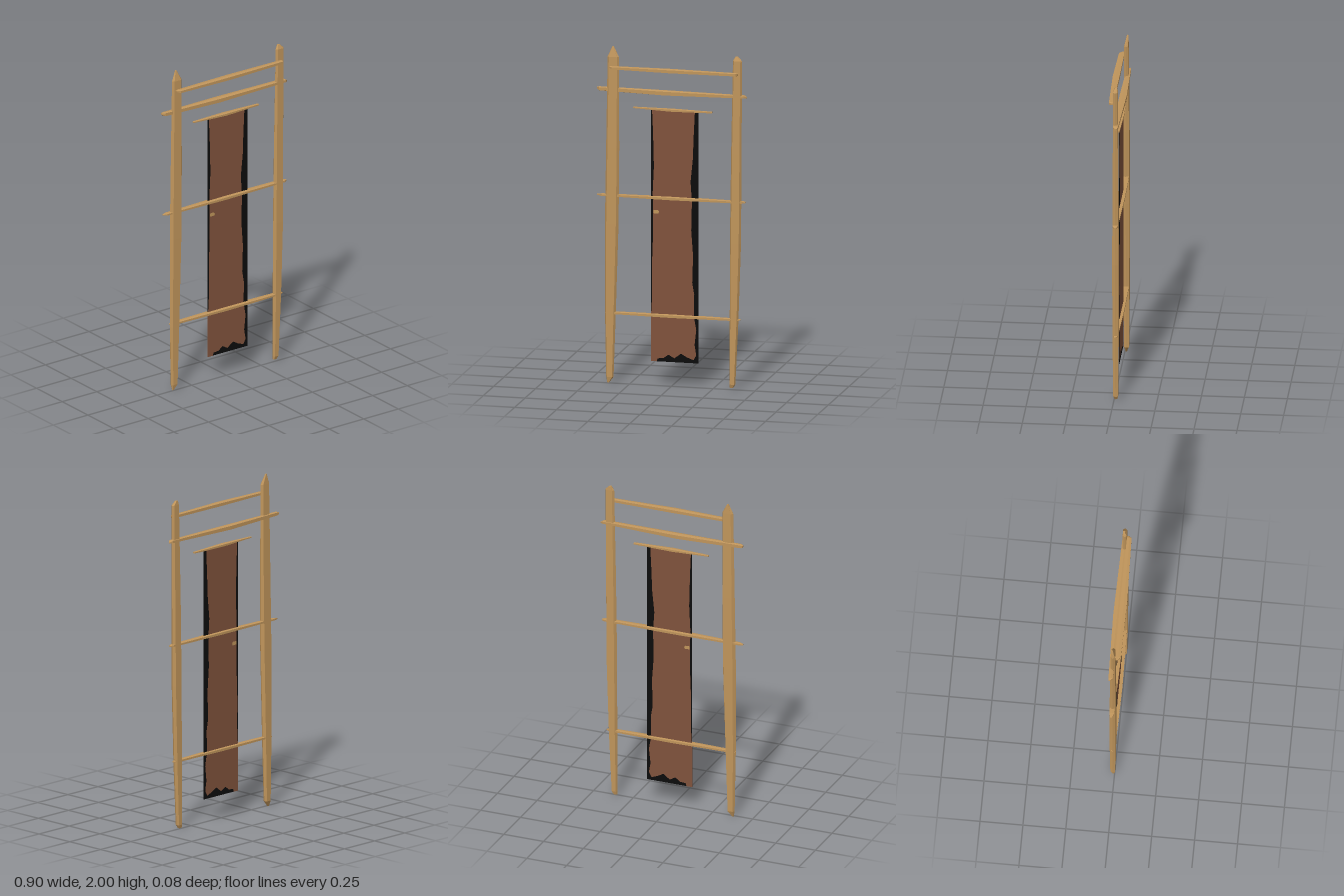
import * as THREE from 'three';

const wood = new THREE.MeshStandardMaterial({ color: 0xc0955b });
wood.name = 'wood';
const cloth = new THREE.MeshStandardMaterial({ color: 0x80533c });
cloth.name = 'brownCloth';
const black = new THREE.MeshStandardMaterial({ color: 0x0c0c0c });
black.name = 'blackEdge';

// Six-sided outline of a hewn pole, in -1..1
const RING = [[-1, 0], [-0.7, 1], [0.7, 1], [1, 0.1], [0.75, -1], [-0.65, -1]];

// Tapered pole from sections [along, low, high, zBack, zFront]; vertical posts run along y, rails along x
function pole(name, sections, vertical) {
  const rings = sections.map(([t, u0, u1, z0, z1]) => RING.map(([a, b]) => {
    const u = (u0 + u1) / 2 + a * (u1 - u0) / 2;
    const z = (z0 + z1) / 2 + b * (z1 - z0) / 2;
    return vertical ? [u, t, z] : [t, u, z];
  }));
  const pos = [];
  const tri = (a, b, c) => pos.push(...(vertical ? [a, b, c] : [a, c, b]).flat());
  const n = RING.length;
  for (let s = 0; s < rings.length - 1; s++) {
    for (let i = 0; i < n; i++) {
      const j = (i + 1) % n;
      const [a, b, c, d] = [rings[s][i], rings[s][j], rings[s + 1][j], rings[s + 1][i]];
      tri(a, b, c);
      tri(a, c, d);
    }
  }
  // End caps
  const first = rings[0], last = rings[rings.length - 1];
  for (let i = 1; i < n - 1; i++) {
    tri(first[0], first[i + 1], first[i]);
    tri(last[0], last[i], last[i + 1]);
  }
  const geo = new THREE.BufferGeometry();
  geo.setAttribute('position', new THREE.Float32BufferAttribute(pos, 3));
  geo.computeVertexNormals();
  const mesh = new THREE.Mesh(geo, wood);
  mesh.name = name;
  return mesh;
}

// Thin plate centred on the cloth plane
function plate(name, points, thickness, material) {
  const shape = new THREE.Shape(points.map(([x, y]) => new THREE.Vector2(x, y)));
  const geo = new THREE.ExtrudeGeometry(shape, { depth: thickness, bevelEnabled: false });
  geo.translate(0, 0, -0.012 - thickness / 2);
  const mesh = new THREE.Mesh(geo, material);
  mesh.name = name;
  return mesh;
}

export function createModel() {
  const group = new THREE.Group();
  group.name = 'hangingFrame';

  // Posts, slimmer at the foot and pointed at the top
  group.add(
    pole('rightPost', [
      [0.0, -0.385, -0.375, -0.012, -0.004],
      [0.035, -0.392, -0.348, -0.025, 0.003],
      [0.4, -0.399, -0.335, -0.028, 0.006],
      [0.95, -0.4, -0.318, -0.03, 0.007],
      [1.4, -0.393, -0.314, -0.028, 0.004],
      [1.94, -0.384, -0.316, -0.024, 0.0],
      [2.0, -0.357, -0.348, -0.022, -0.014],
    ], true),
    pole('leftPost', [
      [0.01, 0.345, 0.368, -0.02, -0.004],
      [0.03, 0.344, 0.38, -0.025, 0.003],
      [0.4, 0.346, 0.398, -0.028, 0.006],
      [0.87, 0.347, 0.414, -0.03, 0.007],
      [1.4, 0.354, 0.417, -0.028, 0.004],
      [1.955, 0.365, 0.42, -0.024, 0.0],
      [1.98, 0.38, 0.395, -0.022, -0.01],
    ], true),
  );

  // Cross rails, thickest in the middle
  const rails = [
    ['topRail', [
      [-0.37, 1.878, 1.888, 0.004, 0.016], [-0.35, 1.871, 1.889, 0.0, 0.032],
      [0, 1.867, 1.892, -0.002, 0.038], [0.39, 1.868, 1.888, 0.0, 0.027],
      [0.4, 1.872, 1.884, 0.002, 0.014]]],
    ['upperRail', [
      [-0.45, 1.742, 1.754, -0.03, -0.02], [-0.435, 1.733, 1.758, -0.031, -0.006],
      [-0.04, 1.724, 1.755, -0.04, 0.002], [0.43, 1.733, 1.752, -0.03, 0.0],
      [0.447, 1.734, 1.742, -0.022, -0.012]]],
    ['middleRail', [
      [-0.447, 1.112, 1.118, -0.02, -0.01], [-0.42, 1.108, 1.122, -0.027, 0.0],
      [0, 1.106, 1.126, -0.032, 0.01], [0.42, 1.108, 1.122, -0.027, 0.003],
      [0.44, 1.112, 1.119, -0.02, -0.006]]],
    ['lowerRail', [
      [-0.4, 0.412, 0.419, -0.02, -0.008], [-0.37, 0.409, 0.424, -0.025, 0.003],
      [0, 0.406, 0.426, -0.03, 0.01], [0.39, 0.408, 0.422, -0.025, 0.003],
      [0.41, 0.412, 0.418, -0.018, -0.006]]],
    ['clothRod', [
      [-0.23, 1.64, 1.648, -0.022, -0.008], [0, 1.632, 1.649, -0.028, 0.004],
      [0.24, 1.634, 1.644, -0.022, -0.006]]],
  ];
  for (const [name, sections] of rails) group.add(pole(name, sections, false));

  // Hanging cloth: dark backing with an uneven brown field
  group.add(
    plate('clothBorder', [[-0.125, 0.142], [0.16, 0.142], [0.16, 1.64], [-0.125, 1.64]], 0.002, black),
    plate('clothField', [
      [-0.125, 0.142], [-0.09, 0.142], [-0.085, 0.16], [-0.05, 0.163], [-0.02, 0.185],
      [0.015, 0.165], [0.055, 0.195], [0.09, 0.175], [0.13, 0.16], [0.146, 0.19],
      [0.136, 0.25], [0.146, 0.34], [0.132, 0.42], [0.134, 0.55], [0.122, 0.62],
      [0.127, 0.78], [0.116, 0.93], [0.12, 1.1], [0.112, 1.22], [0.126, 1.36],
      [0.13, 1.48], [0.138, 1.64], [-0.118, 1.64], [-0.112, 1.5], [-0.107, 1.3],
      [-0.114, 1.15], [-0.112, 0.9], [-0.119, 0.7], [-0.118, 0.52], [-0.125, 0.4],
    ], 0.004, cloth),
    plate('clothPatch', [[-0.11, 1.022], [-0.08, 1.022], [-0.075, 1.033], [-0.085, 1.042], [-0.11, 1.042]], 0.006, wood),
  );
  return group;
}
